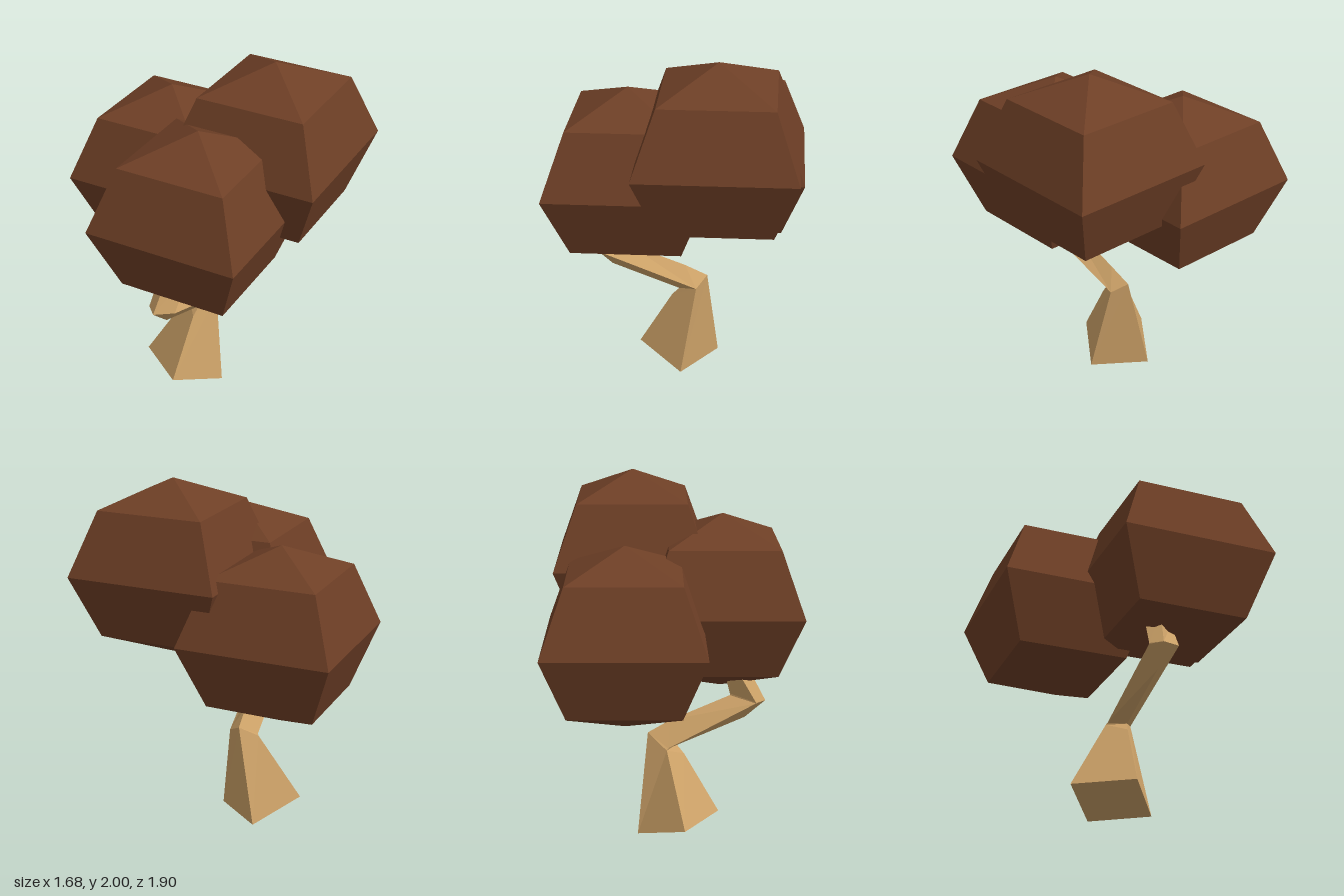
import * as THREE from 'three';

const bark = new THREE.MeshStandardMaterial({ color: 0xcda268, flatShading: true });
const leaf = new THREE.MeshStandardMaterial({ color: 0x6e3f26, flatShading: true });

// Skin a stack of four-cornered rings and close both ends
function loft(rings) {
  const pos = rings.flat(2);
  const idx = [0, 2, 1, 0, 3, 2];
  for (let r = 0; r < rings.length - 1; r++) {
    for (let i = 0; i < 4; i++) {
      const a = r * 4 + i, b = r * 4 + (i + 1) % 4;
      idx.push(a, b, b + 4, a, b + 4, a + 4);
    }
  }
  const t = (rings.length - 1) * 4;
  idx.push(t, t + 1, t + 2, t, t + 2, t + 3);
  const g = new THREE.BufferGeometry();
  g.setAttribute('position', new THREE.Float32BufferAttribute(pos, 3));
  g.setIndex(idx);
  const flat = g.toNonIndexed();
  flat.computeVertexNormals();
  return flat;
}

export function createModel() {
  const model = new THREE.Group();
  model.name = 'tree';

  // Crooked trunk; corners run front-right, back-right, back-left, front-left
  const trunk = new THREE.Mesh(loft([
    // base
    [[-0.06, 0, 0.16], [-0.11, 0, -0.18], [-0.43, 0.1, -0.13], [-0.37, 0.1, 0.21]],
    // lower bend
    [[-0.055, 0.52, 0.04], [-0.07, 0.57, -0.06], [-0.2, 0.49, -0.04], [-0.21, 0.44, 0.09]],
    [[-0.055, 0.52, 0.04], [-0.15, 0.64, 0.04], [-0.2, 0.5, -0.03], [-0.17, 0.49, 0.07]],
    // upper bend
    [[-0.41, 0.77, 0.46], [-0.37, 0.78, 0.29], [-0.52, 0.755, 0.34], [-0.43, 0.65, 0.35]],
    [[-0.41, 0.77, 0.46], [-0.37, 0.79, 0.29], [-0.52, 0.76, 0.34], [-0.52, 0.755, 0.42]],
    // tip hidden in the foliage
    [[-0.31, 0.95, 0.38], [-0.3, 1, 0.28], [-0.4, 1, 0.26], [-0.41, 0.98, 0.36]],
  ]), bark);
  trunk.name = 'trunk';
  model.add(trunk);

  // Three squat, four-sided foliage clumps
  const clump = new THREE.SphereGeometry(1, 4, 4).scale(0.6, 0.495, 0.6);
  const clumps = [
    ['foliageTop', 0.24, 1.505, 0.13],
    ['foliageFront', -0.24, 1.293, 0.35],
    ['foliageBack', -0.19, 1.212, -0.35],
  ];
  for (const [name, x, y, z] of clumps) {
    const mesh = new THREE.Mesh(clump, leaf);
    mesh.name = name;
    mesh.position.set(x, y, z);
    model.add(mesh);
  }
  return model;
}
